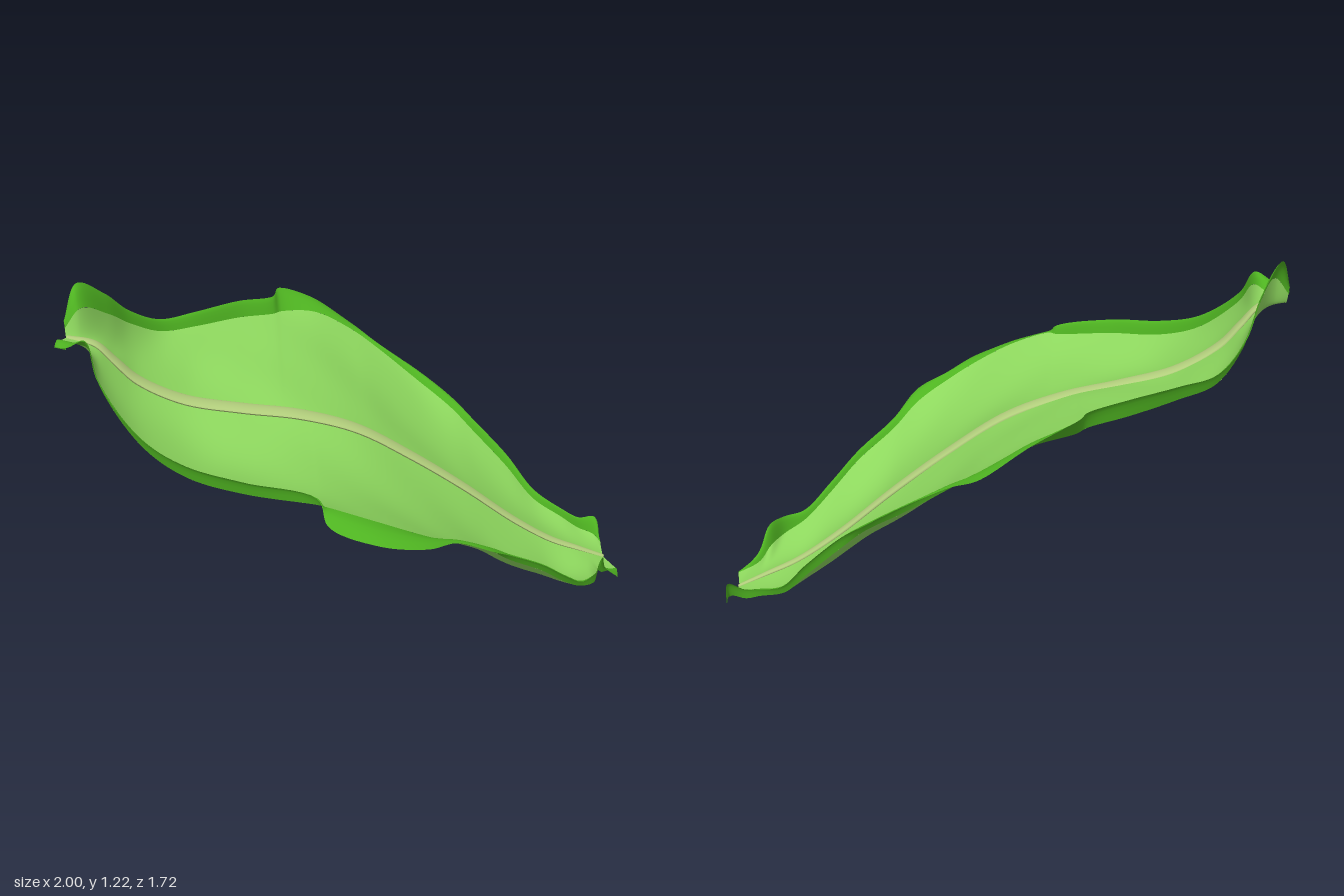
import * as THREE from 'three';

const V = (x, y, z) => new THREE.Vector3(x, y, z);

// Midrib centre line
const ribY = [[-0.97, 1.08], [-0.88, 1.05], [-0.82, 0.985], [-0.75, 0.91], [-0.6, 0.825], [-0.4, 0.775], [-0.2, 0.735],
  [0, 0.665], [0.2, 0.54], [0.4, 0.395], [0.6, 0.235], [0.75, 0.135], [0.87, 0.08], [0.97, 0.035]];
const ribZ = x => -0.02 - 0.103 * x;
const ribCurve = new THREE.CatmullRomCurve3(ribY.map(([x, y]) => V(x, y, ribZ(x))), false, 'centripetal');
const ribSamples = ribCurve.getPoints(400);

// Point of the midrib at a given x
function ribAt(x) {
  const cx = THREE.MathUtils.clamp(x, -0.969, 0.969);
  const i = Math.max(1, ribSamples.findIndex(p => p.x >= cx));
  const a = ribSamples[i - 1], b = ribSamples[i];
  return a.clone().lerp(b, (cx - a.x) / (b.x - a.x));
}

// Smooth interpolation through [x, value] pairs
function valueAt(table, x) {
  const i = table.findIndex(p => p[0] >= x);
  if (i < 0) return table[table.length - 1][1];
  if (i === 0) return table[0][1];
  const [x0, v0] = table[i - 1], [x1, v1] = table[i];
  return v0 + (v1 - v0) * THREE.MathUtils.smoothstep(x, x0, x1);
}

// Outer edge of each half: x, y, z, width of the curled border, rise of the border
const backEdge = [
  [-0.98, 1.12, 0.04, 0.01, 0.02], [-0.94, 1.23, -0.02, 0.05, 0.07], [-0.86, 1.15, -0.15, 0.04, 0.06],
  [-0.79, 1.03, -0.3, 0.03, 0.04], [-0.69, 0.95, -0.42, 0.02, 0.04], [-0.56, 0.94, -0.52, 0.02, 0.05],
  [-0.4, 0.935, -0.64, 0.02, 0.06], [-0.27, 0.92, -0.72, 0.03, 0.06], [-0.24, 0.925, -0.81, 0.08, 0.07],
  [-0.1, 0.86, -0.86, 0.08, 0.03], [0.05, 0.75, -0.85, 0.07, 0], [0.15, 0.69, -0.77, 0.02, 0.01],
  [0.3, 0.6, -0.71, 0.03, 0.03], [0.44, 0.5, -0.64, 0.04, 0.03], [0.52, 0.43, -0.57, 0.02, 0.04],
  [0.65, 0.3, -0.5, 0.02, 0.04], [0.75, 0.18, -0.42, 0.02, 0.03], [0.85, 0.13, -0.34, 0.01, 0.03],
  [0.91, 0.11, -0.3, 0.01, 0.04], [0.97, 0.12, -0.28, 0.03, 0.06], [0.99, 0.01, -0.24, 0.02, -0.03]];
const frontEdge = [
  [-0.97, 1.05, 0.12, 0.02, -0.01], [-1, 1.08, 0.17, 0.04, -0.01], [-0.95, 1.1, 0.23, 0.08, 0.02],
  [-0.89, 1.13, 0.26, 0.03, 0.04], [-0.85, 1.03, 0.35, 0.02, 0.03], [-0.72, 0.9, 0.5, 0.02, 0.04],
  [-0.58, 0.85, 0.61, 0.02, 0.05], [-0.4, 0.83, 0.7, 0.02, 0.05], [-0.18, 0.79, 0.75, 0.02, 0.03],
  [-0.15, 0.73, 0.82, 0.07, -0.03], [0, 0.68, 0.86, 0.1, -0.03], [0.15, 0.64, 0.82, 0.09, 0],
  [0.26, 0.6, 0.72, 0.04, 0.02], [0.38, 0.54, 0.68, 0.07, 0.03], [0.47, 0.45, 0.56, 0.03, 0.03],
  [0.6, 0.35, 0.46, 0.02, 0.03], [0.7, 0.25, 0.37, 0.02, 0.03], [0.79, 0.17, 0.28, 0.02, 0.03],
  [0.86, 0.17, 0.21, 0.02, 0.06], [0.9, 0.17, 0.12, 0.03, 0.07], [0.93, 0.09, 0.06, 0.02, 0.03],
  [1, 0.01, 0, 0.02, -0.03]];

// Swell (+) or sag (-) of each half between midrib and border
const backSwell = [[-0.9, -0.02], [-0.6, 0.015], [-0.3, 0.045], [0.05, 0], [0.4, -0.03], [0.8, -0.015], [0.97, 0]];
const frontSwell = [[-0.95, 0], [-0.8, -0.035], [-0.5, -0.055], [-0.2, -0.055], [0.1, -0.055], [0.45, -0.07], [0.7, -0.05], [0.96, 0]];

// Smooth surface over a grid of points fn(u, v)
function surface(name, color, nu, nv, fn, flip) {
  const pos = [], idx = [];
  for (let i = 0; i <= nu; i++) for (let j = 0; j <= nv; j++) {
    const p = fn(i / nu, j / nv);
    pos.push(p.x, p.y, p.z);
    if (i < nu && j < nv) {
      const a = i * (nv + 1) + j, b = a + nv + 1;
      if (flip) idx.push(a, b, a + 1, b, b + 1, a + 1);
      else idx.push(a, a + 1, b, b, a + 1, b + 1);
    }
  }
  const g = new THREE.BufferGeometry();
  g.setAttribute('position', new THREE.Float32BufferAttribute(pos, 3));
  g.setIndex(idx);
  g.computeVertexNormals();
  const mesh = new THREE.Mesh(g, new THREE.MeshStandardMaterial({ color, side: THREE.DoubleSide }));
  mesh.name = name;
  return mesh;
}

// One half of the leaf: cupped blade plus curled border
function half(name, edge, swell, side) {
  const curve = pts => new THREE.CatmullRomCurve3(pts, false, 'centripetal');
  const outer = curve(edge.map(([x, y, z]) => V(x, y, z)));
  const inner = curve(edge.map(([x, y, z, w, r]) => V(x * (1 - w * 0.3), y - r, z - side * w)));
  const group = new THREE.Group();
  group.name = name;

  const blade = (u, t) => {
    const e = inner.getPoint(u), m = ribAt(e.x);
    const p = m.clone().lerp(e, t);
    const arch = Math.sin(Math.PI * t);
    p.y = m.y + (e.y - m.y) * Math.pow(t, 2.4) + valueAt(swell, p.x) * arch;
    // Soft swellings between the side veins
    p.y += 0.007 * arch * Math.sin(Math.PI * u) * Math.sin(p.x * 13 + side) * Math.cos(p.z * 9);
    return p;
  };
  const border = (u, t) => {
    const p = inner.getPoint(u).lerp(outer.getPoint(u), t);
    p.y += 0.012 * Math.sin(Math.PI * t);
    return p;
  };
  group.add(surface('blade', 0x8ed85e, 120, 24, blade, side < 0));
  group.add(surface('curledBorder', 0x4fb421, 160, 4, border, side < 0));
  return group;
}

export function createModel() {
  const leaf = new THREE.Group();
  leaf.name = 'leaf';
  leaf.add(half('backHalf', backEdge, backSwell, -1), half('frontHalf', frontEdge, frontSwell, 1));

  // Raised midrib, a flattened bar tapering to both ends
  const rib = (u, v) => {
    const p = ribCurve.getPoint(u), a = v * Math.PI * 2;
    const bulge = Math.sin(Math.PI * Math.pow(u, 0.8));
    const w = 0.01 + 0.03 * bulge, h = 0.006 + 0.007 * bulge;
    const tan = ribCurve.getTangent(u);
    p.addScaledVector(V(-tan.y, tan.x, 0).normalize(), h * Math.sin(a));
    p.z += w * Math.cos(a);
    return p;
  };
  leaf.add(surface('midrib', 0xb2ce7c, 90, 14, rib, true));
  return leaf;
}
